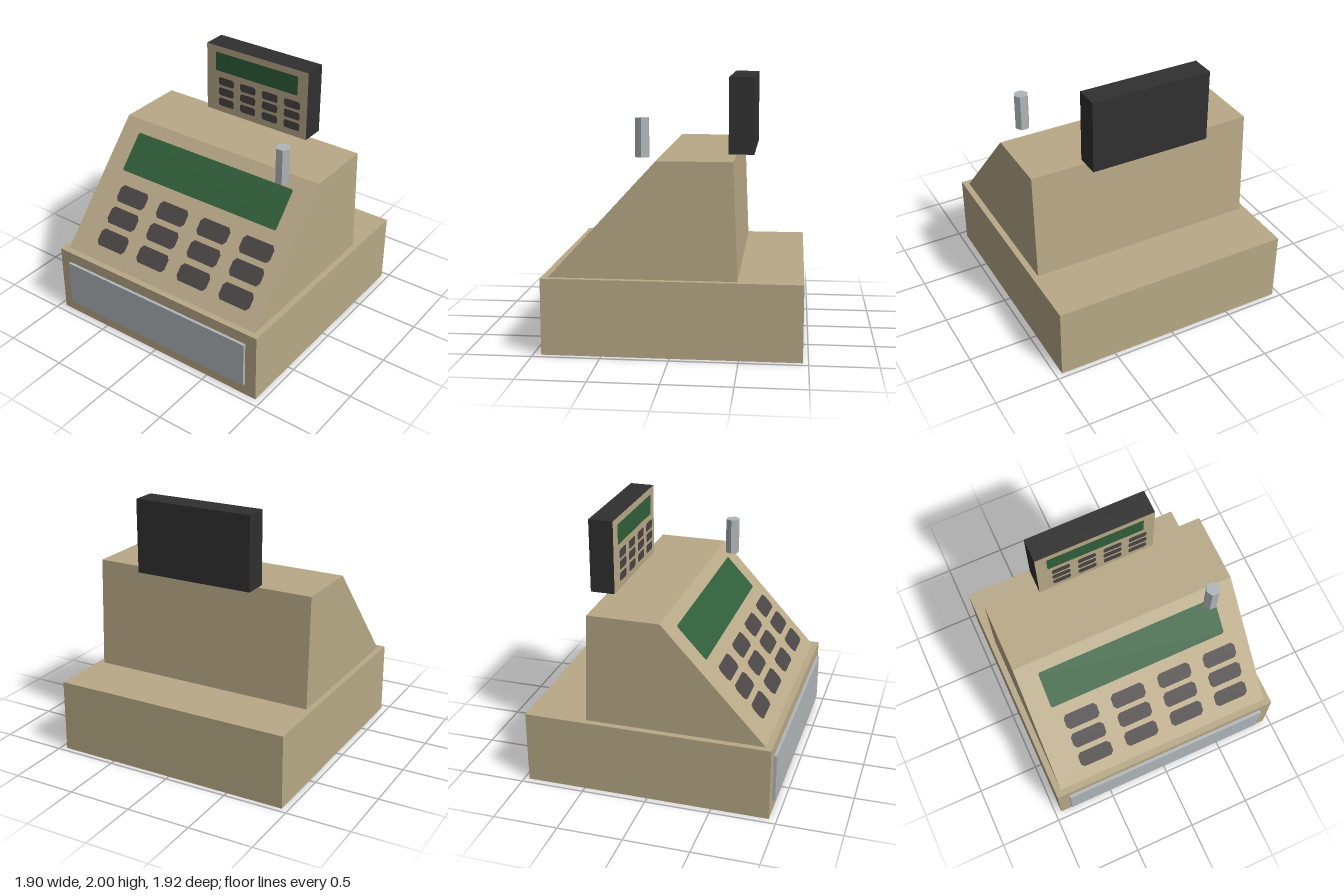
import * as THREE from 'three';

const mat = (name, color, side = THREE.FrontSide) => {
  const m = new THREE.MeshStandardMaterial({ color, side });
  m.name = name;
  return m;
};

export function createModel() {
  const tan = mat('tan casing', 0xb8a987, THREE.DoubleSide);
  const black = mat('black plastic', 0x303030);
  const steel = mat('grey metal', 0xb0b6ba);
  const green = mat('green screen', 0x305f3a);
  const dark = mat('dark keys', 0x4b4545);

  const model = new THREE.Group();
  model.name = 'cashRegister';
  const add = (parent, name, geo, material, x = 0, y = 0, z = 0) => {
    const mesh = new THREE.Mesh(geo, material);
    mesh.name = name;
    mesh.position.set(x, y, z);
    parent.add(mesh);
    return mesh;
  };

  // Flat plate with clipped corners; u runs -1..1 across the panel, v runs 0..1 up it
  const plate = (u0, u1, v0, v1, cu, cv) => new THREE.ShapeGeometry(new THREE.Shape([
    [u0 + cu, v0], [u1 - cu, v0], [u1, v0 + cv], [u1, v1 - cv],
    [u1 - cu, v1], [u0 + cu, v1], [u0, v1 - cv], [u0, v0 + cv],
  ].map(([u, v]) => new THREE.Vector2(u, v))));

  // Screen and a 4 x 3 keypad, scaled to a panel
  const keypad = (name, halfWidth, height) => {
    const g = new THREE.Group();
    g.name = name;
    const put = (part, geo, m) => add(g, part, geo.scale(halfWidth, height, 1), m, 0, 0, 0.004);
    put('screen', plate(-0.815, 0.81, 0.63, 0.91, 0.012, 0.012), green);
    for (const u of [-0.753, -0.313, 0.126, 0.562])
      for (const v of [0.1, 0.262, 0.42])
        put('key', plate(u, u + 0.308, v, v + 0.119, 0.026, 0.026), dark);
    model.add(g);
    return g;
  };

  // Base: a shell open at the bottom
  const base = new THREE.BoxGeometry(1.9, 0.57, 1.9);
  base.setIndex([...base.index.array].filter((_, i) => i < 18 || i >= 24));
  base.clearGroups();
  add(model, 'base', base, tan, 0, 0.285, -0.01);
  add(model, 'drawerFront', new THREE.BoxGeometry(1.71, 0.38, 0.023), steel, 0, 0.29, 0.9525);

  // Sloped body: side profile (z, y) extruded across the width
  const profile = new THREE.Shape([[-0.485, 0.57], [0.89, 0.57], [0.1, 1.43], [-0.45, 1.43]]
    .map(([z, y]) => new THREE.Vector2(z, y)));
  const body = new THREE.ExtrudeGeometry(profile, { depth: 1.805, bevelEnabled: false });
  body.rotateY(-Math.PI / 2).translate(0.9025, 0, 0);
  add(model, 'body', body, tan);
  const slope = keypad('bodyKeypad', 0.9025, Math.hypot(0.86, 0.79));
  slope.position.set(0, 0.57, 0.89);
  slope.rotation.x = -Math.atan2(0.79, 0.86);

  // Upright display box with a tan face
  add(model, 'displayBox', new THREE.BoxGeometry(0.95, 0.57, 0.19),
    [black, black, black, black, tan, black], 0, 1.715, -0.485);
  keypad('displayKeypad', 0.475, 0.57).position.set(0, 1.43, -0.39);

  // Hexagonal post
  const post = new THREE.CylinderGeometry(0.056, 0.056, 0.285, 6, 1, false, Math.PI / 6).toNonIndexed();
  post.computeVertexNormals();
  add(model, 'post', post, steel, 0.665, 1.5725, 0.227);

  return model;
}
